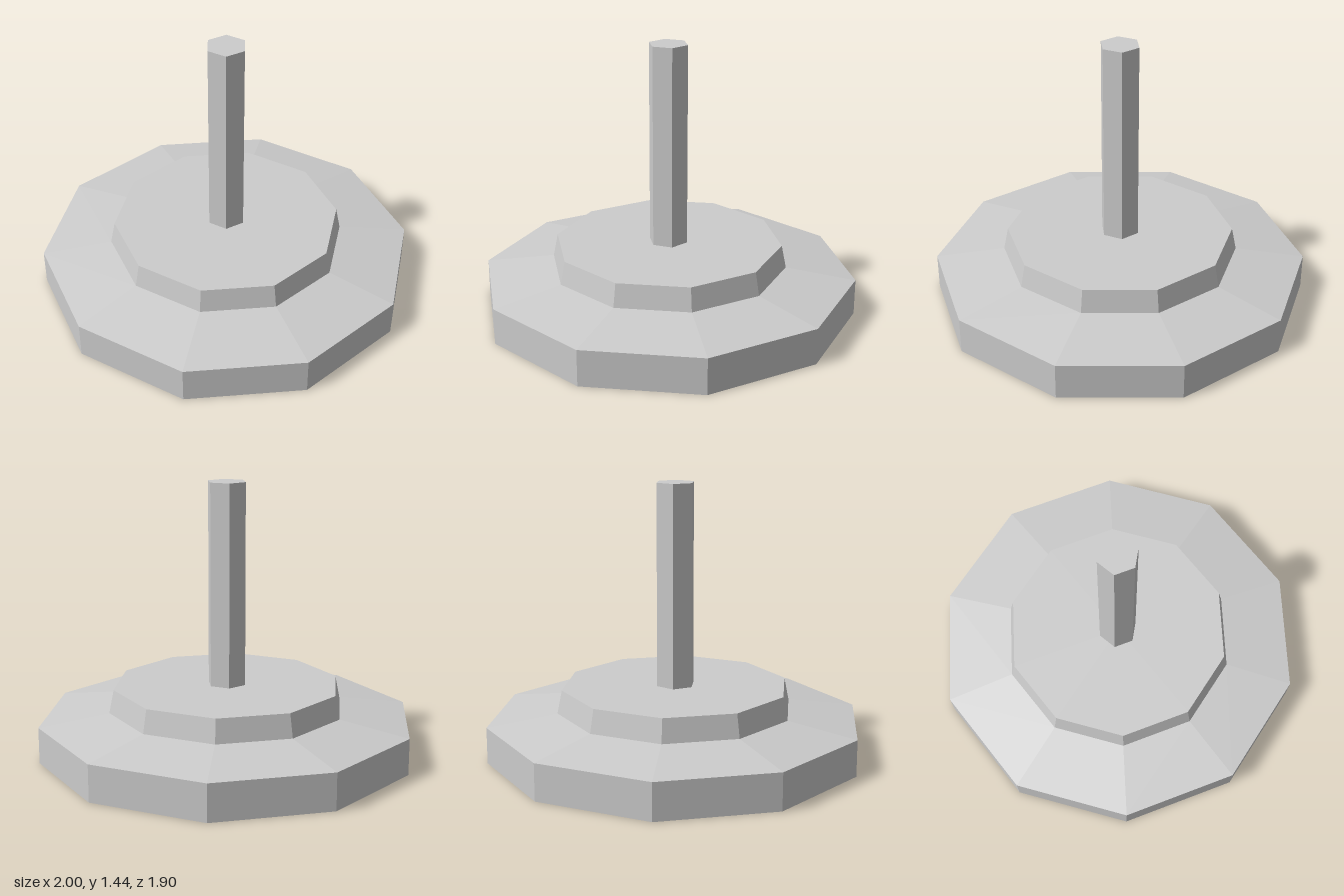
import * as THREE from 'three';

export function createModel() {
  const group = new THREE.Group();
  group.name = 'postOnBase';
  const grey = new THREE.MeshStandardMaterial({ color: 0xcccccc, flatShading: true });
  grey.name = 'grey';

  // Faceted tier from y0 to y1, with a corner pointing along +x
  const addTier = (name, sides, bottomRadius, topRadius, y0, y1) => {
    const geometry = new THREE.CylinderGeometry(
      topRadius, bottomRadius, y1 - y0, sides, 1, false, Math.PI / 2);
    const mesh = new THREE.Mesh(geometry, grey);
    mesh.name = name;
    mesh.position.y = (y0 + y1) / 2;
    group.add(mesh);
  };

  // Ten-sided stepped base
  addTier('basePlate', 10, 1, 1, 0, 0.193);
  addTier('baseSlope', 10, 1, 0.63, 0.193, 0.247);
  addTier('upperStep', 10, 0.63, 0.605, 0.247, 0.37);

  // Six-sided post
  addTier('post', 6, 0.105, 0.105, 0.37, 1.443);

  return group;
}
